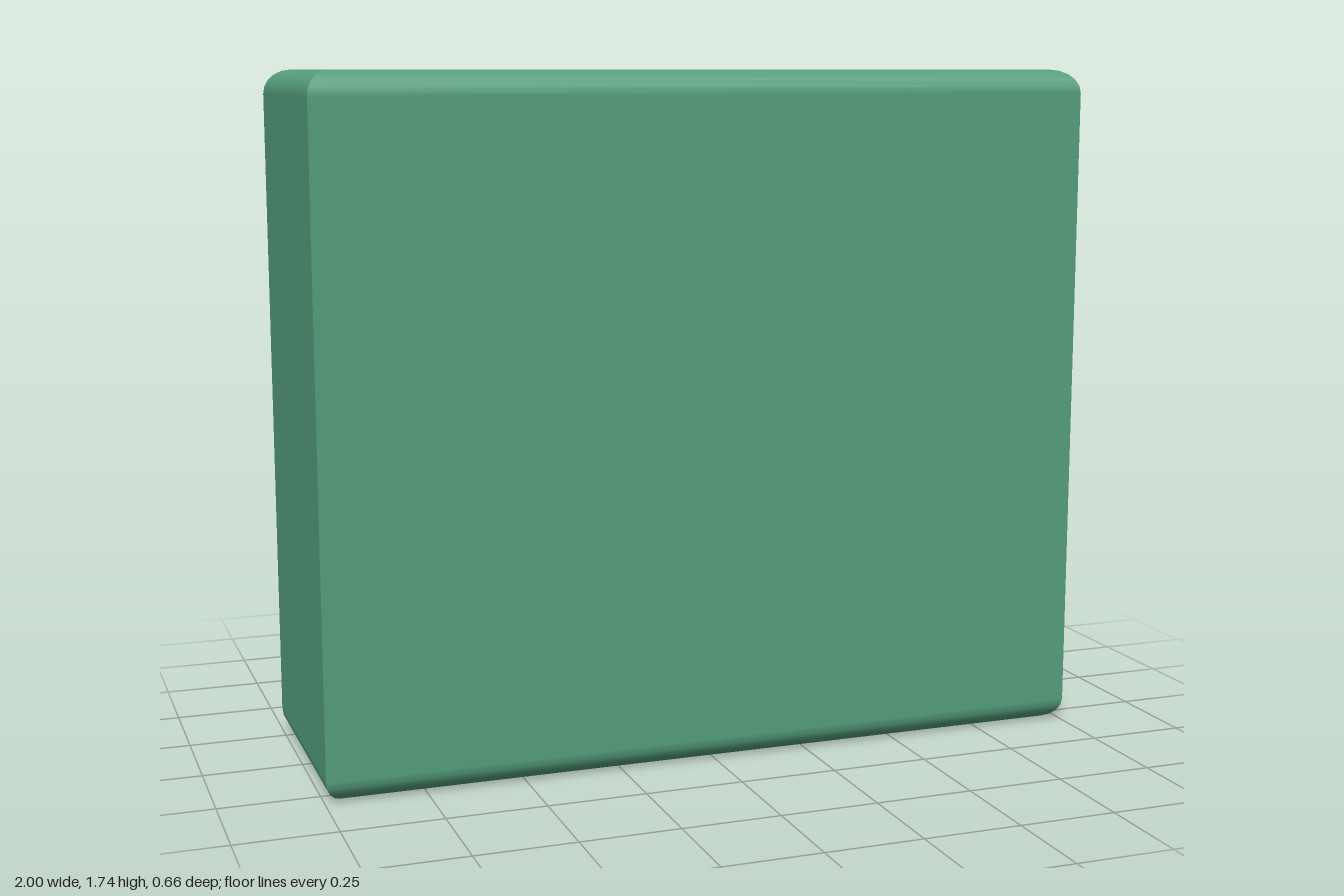
import * as THREE from 'three';

const W = 1, H = 1.74, ZF = 0.33, ZB = -0.3, R = 0.06;
const D = (ZF - ZB) / 2, ZC = (ZF + ZB) / 2;
const FAN = { x: -0.09, y: 0.87, r: 0.6 };

const paint = (color, extra = {}) => new THREE.MeshStandardMaterial({ color, ...extra });
const green = paint(0x55a07d);
const blue = paint(0x5363b0, { flatShading: true, side: THREE.DoubleSide });
const red = paint(0xb04040, { side: THREE.DoubleSide });
const brown = paint(0xb07840);
const grey = paint(0xcccccc);

function add(parent, name, geometry, material, x = 0, y = 0, z = 0) {
  const mesh = new THREE.Mesh(geometry, material);
  mesh.name = name;
  mesh.position.set(x, y, z);
  parent.add(mesh);
  return mesh;
}

function rectangle(x0, y0, x1, y1, Kind = THREE.Shape) {
  const s = new Kind();
  s.moveTo(x0, y0).lineTo(x1, y0).lineTo(x1, y1).lineTo(x0, y1).closePath();
  return s;
}

// Quarter-round strip along the top or bottom edge of one wall, mitred at its ends
function edgeStrip(half, dist, top) {
  const pos = [], nor = [], idx = [], n = 5;
  for (let i = 0; i <= n; i++) {
    const a = (i / n) * Math.PI / 2, inset = R * (1 - Math.cos(a));
    const y = top ? H - R + R * Math.sin(a) : R - R * Math.sin(a);
    for (const s of [-1, 1]) {
      pos.push(s * (half - inset), y, dist - inset);
      nor.push(0, (top ? 1 : -1) * Math.sin(a), Math.cos(a));
    }
    if (i < n) {
      const k = i * 2;
      idx.push(...(top ? [k, k + 1, k + 2, k + 1, k + 3, k + 2] : [k, k + 2, k + 1, k + 1, k + 2, k + 3]));
    }
  }
  const g = new THREE.BufferGeometry();
  g.setAttribute('position', new THREE.Float32BufferAttribute(pos, 3));
  g.setAttribute('normal', new THREE.Float32BufferAttribute(nor, 3));
  g.setIndex(idx);
  return g;
}

function buildCasing() {
  const casing = new THREE.Group();
  casing.name = 'casing';

  // Holes are drawn in each wall's own plane
  const fanHole = new THREE.Path();
  for (let i = 0; i < 16; i++) {
    const a = i * Math.PI / 8, x = -FAN.x + FAN.r * Math.cos(a), y = FAN.y + FAN.r * Math.sin(a);
    if (i) fanHole.lineTo(x, y); else fanHole.moveTo(x, y);
  }
  fanHole.closePath();
  const ventHole = rectangle(-0.135 + ZC, 0.295, 0.155 + ZC, 1.575, THREE.Path);

  const walls = [
    ['front', W, D, 0], ['leftSide', D, W, Math.PI / 2, ventHole],
    ['back', W, D, Math.PI, fanHole], ['rightSide', D, W, -Math.PI / 2],
  ];
  for (const [name, half, dist, turn, hole] of walls) {
    const wall = new THREE.Group();
    wall.name = name;
    const shape = rectangle(-half, R, half, H - R);
    if (hole) shape.holes.push(hole);
    add(wall, name + 'Panel', new THREE.ShapeGeometry(shape), green, 0, 0, dist);
    add(wall, name + 'TopEdge', edgeStrip(half, dist, true), green);
    add(wall, name + 'BottomEdge', edgeStrip(half, dist, false), green);
    wall.rotation.y = turn;
    wall.position.z = ZC;
    casing.add(wall);
  }
  for (const s of [-1, 1]) {
    const cap = new THREE.PlaneGeometry(2 * (W - R), 2 * (D - R)).rotateX(-s * Math.PI / 2);
    add(casing, s > 0 ? 'topPanel' : 'bottomPanel', cap, green, 0, s > 0 ? H : 0, ZC);
  }
  return casing;
}

function buildVent() {
  const vent = new THREE.Group();
  vent.name = 'sideVent';
  // Recess: a box seen from inside, without its outer face
  const recess = new THREE.BoxGeometry(0.1, 1.28, 0.29);
  recess.setIndex(Array.from(recess.index.array).slice(6));
  add(vent, 'ventRecess', recess, paint(0x55a07d, { side: THREE.BackSide }), 0.95, 0.935, -0.01);
  for (let i = 0; i < 4; i++)
    add(vent, 'ventUpright', new THREE.BoxGeometry(0.014, 1.28, 0.014), brown, 0.945, 0.935, 0.106 - i * 0.0725);
  for (let i = 0; i < 9; i++)
    add(vent, 'ventCrossbar', new THREE.BoxGeometry(0.02, 0.02, 0.29), brown, 0.955, 0.505 + i * 0.1257, -0.01);
  return vent;
}

function buildFan() {
  const fan = new THREE.Group();
  fan.name = 'fan';
  fan.position.set(FAN.x, FAN.y, 0);

  // Duct with a bevelled lip; profile is radius against distance to the back
  const profile = [[0.6, 0.29], [0.6, 0.303], [0.585, 0.33], [0.56, 0.33], [0.55, 0.3], [0.55, -0.1], [0.001, -0.1]];
  const duct = new THREE.LatheGeometry(profile.map(p => new THREE.Vector2(...p)), 16).rotateX(-Math.PI / 2);
  add(fan, 'duct', duct, blue);

  // Hub and nose
  const disc = (r, len) => new THREE.CylinderGeometry(r, r, len, 16).rotateX(Math.PI / 2);
  add(fan, 'hub', disc(0.11, 0.14), grey, 0, 0, 0.03);
  add(fan, 'hubNose', disc(0.06, 0.04), grey, 0, 0, -0.06);

  // Three broad, pitched blades
  const blade = new THREE.Shape();
  blade.moveTo(-0.05, 0.06);
  blade.bezierCurveTo(-0.08, 0.2, -0.2, 0.25, -0.19, 0.38);
  blade.bezierCurveTo(-0.17, 0.52, 0.02, 0.55, 0.14, 0.49);
  blade.bezierCurveTo(0.19, 0.4, 0.07, 0.25, 0.05, 0.06);
  const bladeGeometry = new THREE.ExtrudeGeometry(blade, { depth: 0.015, bevelEnabled: false, curveSegments: 8 });
  bladeGeometry.translate(0, 0, -0.0075).rotateY(0.35);
  for (let i = 0; i < 3; i++)
    add(fan, 'blade', bladeGeometry, red, 0, 0, 0.01).rotation.z = i * Math.PI * 2 / 3;
  return fan;
}

// Guard bars trimmed to a circle
function buildGuard() {
  const guard = new THREE.Group();
  guard.name = 'fanGuard';
  guard.position.set(FAN.x, FAN.y, -0.27);
  const step = 0.126, reach = 0.54, t = 0.018;
  const length = d => 2 * Math.sqrt(reach * reach - d * d);
  for (let i = -4; i <= 4; i++) {
    const y = i * step;
    add(guard, 'guardCrossbar', new THREE.BoxGeometry(length(y), t, t), brown, 0, y, -0.008);
  }
  for (let i = 0; i < 8; i++) {
    const x = (i - 3.5) * step + 0.03;
    add(guard, 'guardUpright', new THREE.BoxGeometry(t, length(x), t), brown, x, 0, 0.008);
  }
  return guard;
}

export function createModel() {
  const model = new THREE.Group();
  model.name = 'fanUnit';
  model.add(buildCasing(), buildVent(), buildFan(), buildGuard());
  return model;
}
